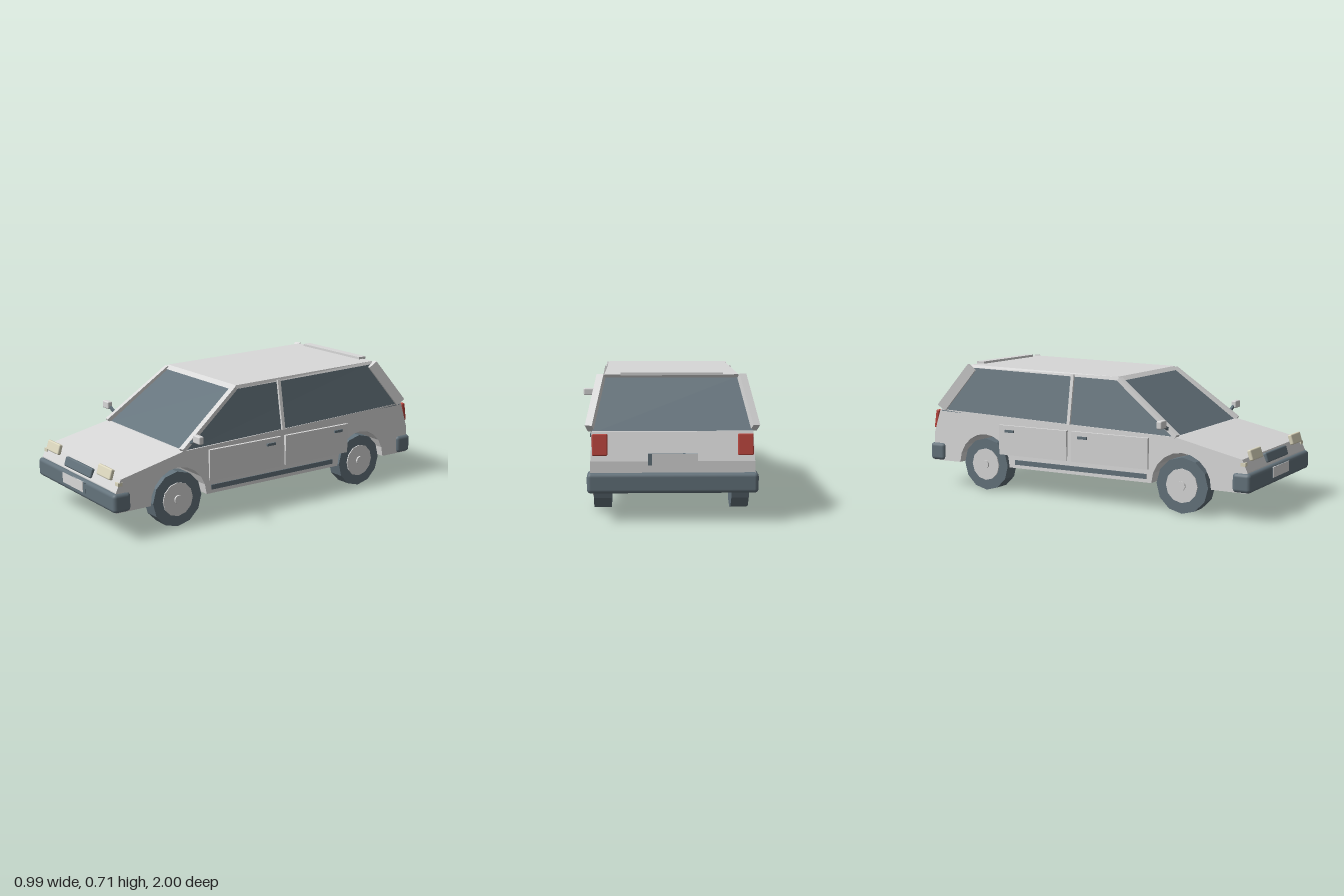
import * as THREE from 'three';
import { RoundedBoxGeometry } from 'three/addons/geometries/RoundedBoxGeometry.js';

const paint = new THREE.MeshStandardMaterial({ color: 0xd8d8d8 });
const slate = new THREE.MeshStandardMaterial({ color: 0x64737c });
const cream = new THREE.MeshStandardMaterial({ color: 0xddd8bf });
const red = new THREE.MeshStandardMaterial({ color: 0xb8443c });
paint.name = 'paint'; slate.name = 'slate'; cream.name = 'cream'; red.name = 'red';

// Facets a geometry
function flat(geo) {
  const g = geo.index ? geo.toNonIndexed() : geo;
  g.computeVertexNormals();
  return g;
}

// Box with corners moved: each end is [z, y, halfWidth]
function loft(bottomFront, bottomBack, topFront, topBack) {
  const geo = new THREE.BoxGeometry(1, 1, 1);
  const p = geo.attributes.position;
  for (let i = 0; i < p.count; i++) {
    const front = p.getZ(i) > 0;
    const [z, y, w] = p.getY(i) > 0 ? (front ? topFront : topBack) : (front ? bottomFront : bottomBack);
    p.setXYZ(i, Math.sign(p.getX(i)) * w, y, z);
  }
  return flat(geo);
}

// Lower body: side profile with wheel arches, tapering towards the top
function bodyGeometry(wheelZ) {
  const pts = [[-0.975, 0.145]];
  for (const c of wheelZ) {
    for (let i = 0; i <= 10; i++) {
      const a = Math.PI * (1 - i / 10);
      pts.push([c + 0.17 * Math.cos(a), 0.146 + 0.172 * Math.sin(a)]);
    }
  }
  pts.push([0.98, 0.145], [0.975, 0.25], [0.945, 0.313], [0.57, 0.395], [-0.935, 0.44], [-0.975, 0.3]);
  const shape = new THREE.Shape(pts.map(([z, y]) => new THREE.Vector2(z, y)));
  const geo = new THREE.ExtrudeGeometry(shape, { depth: 2, bevelEnabled: false });
  geo.rotateY(-Math.PI / 2).translate(1, 0, 0);
  const p = geo.attributes.position;
  for (let i = 0; i < p.count; i++) {
    p.setX(i, Math.sign(p.getX(i)) * (0.405 - 0.05 * (p.getY(i) - 0.15)));
  }
  return flat(geo);
}

export function createModel() {
  const car = new THREE.Group();
  car.name = 'car';

  function add(name, geo, mat, x = 0, y = 0, z = 0) {
    const m = new THREE.Mesh(geo, mat);
    m.name = name;
    m.position.set(x, y, z);
    car.add(m);
    return m;
  }
  const box = (name, mat, w, h, d, x, y, z) => add(name, new THREE.BoxGeometry(w, h, d), mat, x, y, z);
  const rounded = (name, mat, w, h, d, r, x, y, z) =>
    add(name, new RoundedBoxGeometry(w, h, d, 2, r), mat, x, y, z);
  function beam(name, mat, w, h, a, b) {
    const A = new THREE.Vector3(...a), B = new THREE.Vector3(...b);
    const m = add(name, new THREE.BoxGeometry(w, h, A.distanceTo(B)), mat);
    m.position.copy(A).lerp(B, 0.5);
    m.lookAt(B);
    return m;
  }

  const wheelZ = [-0.62, 0.61];
  add('body', bodyGeometry(wheelZ), paint);

  // Glasshouse and roof
  add('windows', loft([0.575, 0.385, 0.385], [-0.925, 0.43, 0.392], [0.2, 0.672, 0.33], [-0.73, 0.687, 0.335]), slate);
  add('roof', loft([0.225, 0.66, 0.335], [-0.745, 0.682, 0.34], [0.2, 0.68, 0.33], [-0.755, 0.698, 0.332]), paint);
  box('spoiler', paint, 0.505, 0.014, 0.05, 0, 0.703, -0.75);

  // Bumpers and plates at both ends
  for (const s of [1, -1]) {
    rounded(s > 0 ? 'frontBumper' : 'rearBumper', slate, 0.83, 0.1, 0.1, 0.02, 0, 0.195, s * 0.946);
  }
  box('frontPlateHolder', slate, 0.24, 0.055, 0.008, 0, 0.207, 0.994);
  box('frontPlate', paint, 0.22, 0.055, 0.008, -0.01, 0.207, 0.996);
  box('rearPlateHolder', slate, 0.24, 0.055, 0.02, 0, 0.31, -0.974);
  box('rearPlate', paint, 0.22, 0.055, 0.008, -0.01, 0.31, -0.983);
  rounded('grille', slate, 0.285, 0.052, 0.024, 0.008, 0, 0.283, 0.962).rotation.x = -0.3;

  for (const s of [1, -1]) {
    // Pillars
    beam('frontPillar', paint, 0.032, 0.022, [s * 0.382, 0.397, 0.575], [s * 0.326, 0.668, 0.208]);
    beam('middlePillar', paint, 0.018, 0.02, [s * 0.391, 0.41, -0.07], [s * 0.336, 0.678, -0.075]);
    beam('rearPillar', paint, 0.036, 0.055, [s * 0.347, 0.685, -0.738], [s * 0.401, 0.452, -0.913]);

    // Lamps
    rounded('headlight', cream, 0.135, 0.056, 0.022, 0.007, s * 0.277, 0.327, 0.963).rotation.x = -0.3;
    box('cornerLamp', cream, 0.03, 0.018, 0.025, s * 0.385, 0.288, 0.95);
    rounded('tailLight', red, 0.075, 0.105, 0.022, 0.006, s * 0.352, 0.38, -0.965).rotation.x = 0.15;

    // Doors, handles and sill
    box('frontDoor', paint, 0.02, 0.165, 0.465, s * 0.4, 0.298, 0.188);
    box('rearDoor', paint, 0.02, 0.165, 0.44, s * 0.4, 0.298, -0.295);
    for (const z of [0.027, -0.443]) box('doorHandle', slate, 0.012, 0.014, 0.055, s * 0.413, 0.35, z);
    box('sillStrip', slate, 0.012, 0.026, 0.82, s * 0.402, 0.178, 0);

    // Mirror
    beam('mirrorArm', slate, 0.014, 0.014, [s * 0.38, 0.43, 0.525], [s * 0.435, 0.455, 0.525]);
    rounded('mirror', paint, 0.062, 0.042, 0.03, 0.007, s * 0.463, 0.466, 0.528);

    // Wheels
    for (const z of wheelZ) {
      const disc = (name, mat, r, w, x) =>
        add(name, flat(new THREE.CylinderGeometry(r, r, w, 12).rotateZ(Math.PI / 2)), mat, s * x, 0.147, z);
      disc('tyre', slate, 0.147, 0.088, 0.346);
      disc('wheelDisc', paint, 0.09, 0.02, 0.386);
      disc('hubCap', paint, 0.024, 0.01, 0.4);
    }
  }
  return car;
}
